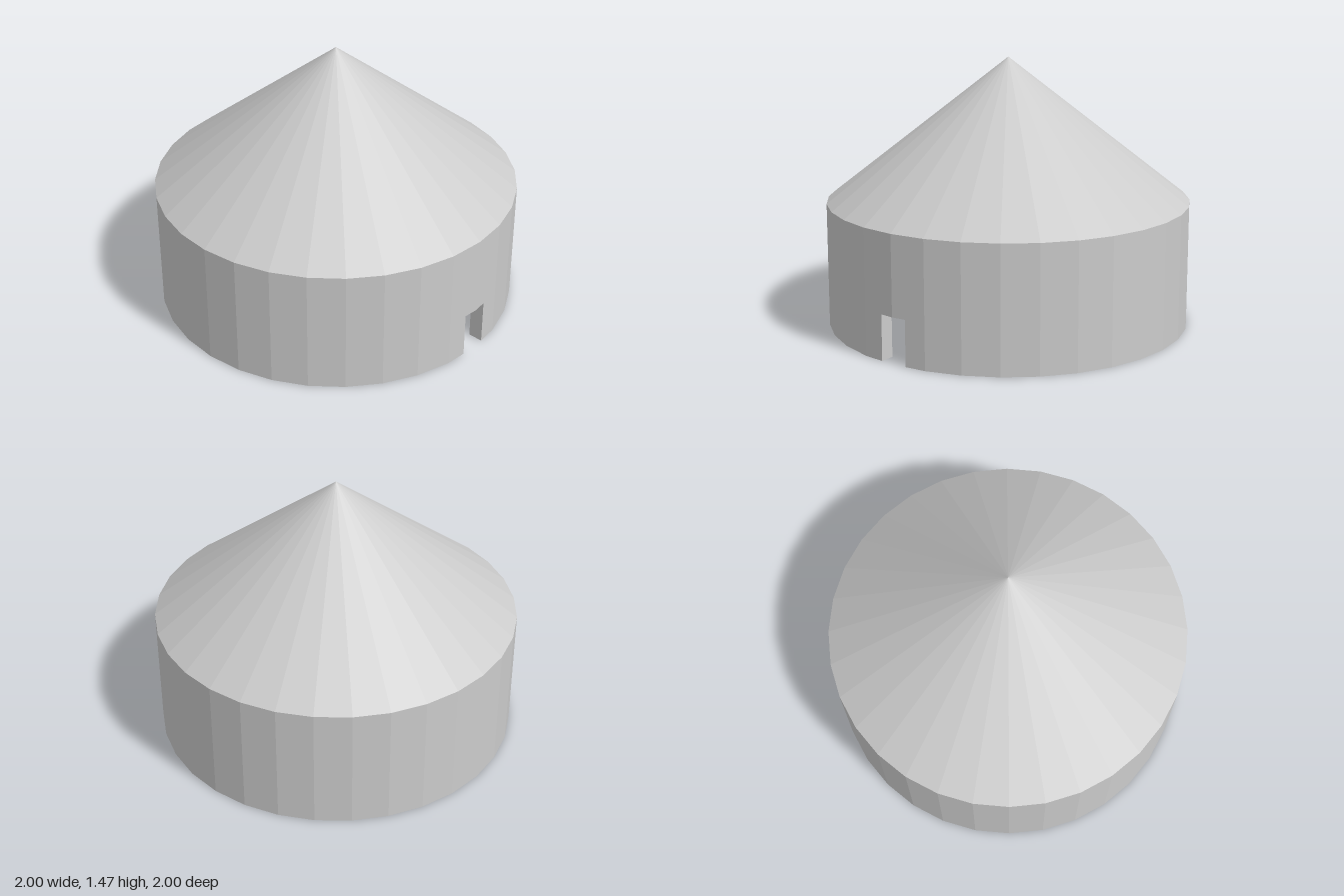
import * as THREE from 'three';

const SIDES = 32, R_OUT = 1, R_IN = 0.92;
const EAVE = 0.685, CEILING = 0.64, APEX = 1.47;
const DOOR_HALF = 0.078, DOOR_TOP = 0.25;

// Wall with a doorway through it on the +x side
function wallGeometry() {
  const positions = [];
  const quad = (a, b, c, d) => [a, b, c, a, c, d].forEach((p) => positions.push(...p));
  const at = ([x, z], y) => [x, y, z];
  const corner = (r, i) => {
    const t = (i / SIDES) * Math.PI * 2;
    return [r * Math.cos(t), r * Math.sin(t)];
  };
  // door edge: a point on the flat side next to the +x corner
  const jamb = (r, z) => [r - Math.abs(z) * Math.tan(Math.PI / SIDES), z];
  const station = (fn, v) => ({ out: fn(R_OUT, v), inn: fn(R_IN, v) });

  // stations run from one door jamb round to the other, then across the door
  const stations = [station(jamb, DOOR_HALF)];
  for (let i = 1; i < SIDES; i++) stations.push(station(corner, i));
  stations.push(station(jamb, -DOOR_HALF), station(corner, 0));

  stations.forEach((a, i) => {
    const b = stations[(i + 1) % stations.length];
    const y = i >= SIDES ? DOOR_TOP : 0;
    quad(at(a.out, y), at(a.out, EAVE), at(b.out, EAVE), at(b.out, y));
    quad(at(a.inn, y), at(b.inn, y), at(b.inn, CEILING), at(a.inn, CEILING));
    quad(at(a.out, y), at(b.out, y), at(b.inn, y), at(a.inn, y));
  });

  // door jambs
  const p = stations[0], q = stations[SIDES];
  quad(at(p.out, 0), at(p.inn, 0), at(p.inn, DOOR_TOP), at(p.out, DOOR_TOP));
  quad(at(q.out, 0), at(q.out, DOOR_TOP), at(q.inn, DOOR_TOP), at(q.inn, 0));

  const geometry = new THREE.BufferGeometry();
  geometry.setAttribute('position', new THREE.Float32BufferAttribute(positions, 3));
  geometry.computeVertexNormals();
  return geometry;
}

export function createModel() {
  const group = new THREE.Group();
  group.name = 'roundHut';
  const material = new THREE.MeshStandardMaterial({ color: 0xcccccc, flatShading: true });
  const add = (name, geometry) => {
    const mesh = new THREE.Mesh(geometry, material);
    mesh.name = name;
    group.add(mesh);
    return mesh;
  };

  add('wall', wallGeometry());

  // Conical roof, flush with the wall
  add('roof', new THREE.ConeGeometry(R_OUT, APEX - EAVE, SIDES, 1, true))
    .position.y = (APEX + EAVE) / 2;

  // Flat ceiling, facing down into the room
  add('ceiling', new THREE.CircleGeometry(R_IN, SIDES).rotateX(Math.PI / 2))
    .position.y = CEILING;

  return group;
}
